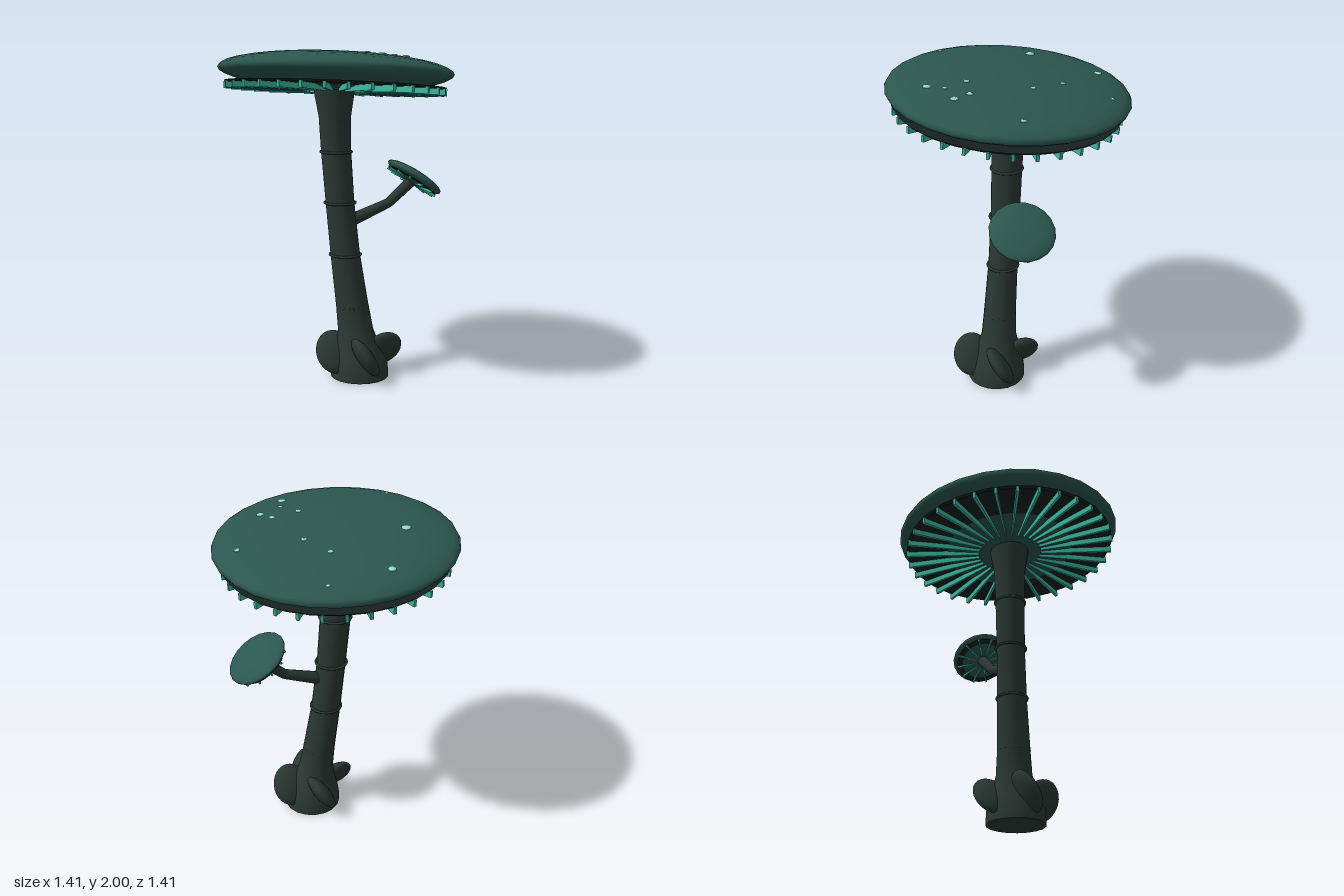
import * as THREE from 'three';
import { toCreasedNormals } from 'three/addons/utils/BufferGeometryUtils.js';

const mat = (color) => new THREE.MeshStandardMaterial({ color });
const stemMat = mat(0x2a3833), capMat = mat(0x2b574e), underMat = mat(0x16211f);
const gillMat = mat(0x3cb8a0), spotMat = mat(0x8fdcc8);

function add(parent, name, geometry, material) {
  const mesh = new THREE.Mesh(geometry, material);
  mesh.name = name;
  parent.add(mesh);
  return mesh;
}

// Stem cross-sections from top to bottom: height, centre x, centre z, radius
const STEM = [
  [1.79, -0.01, 0, 0.125], [1.73, -0.01, 0, 0.12], [1.6, -0.008, 0.003, 0.098],
  [1.39, -0.002, 0.01, 0.092], [1.08, 0.018, 0.025, 0.088], [0.76, 0.045, 0.047, 0.091],
  [0.44, 0.082, 0.077, 0.101], [0.29, 0.1, 0.088, 0.11], [0.17, 0.11, 0.1, 0.145],
  [0.08, 0.12, 0.11, 0.177], [0, 0.12, 0.11, 0.18],
];

function stemGeometry() {
  const rows = STEM.length - 1;
  const geo = new THREE.CylinderGeometry(1, 1, 1, 18, rows);
  const p = geo.attributes.position;
  for (let i = 0; i < p.count; i++) {
    const [y, cx, cz, r] = STEM[Math.round((0.5 - p.getY(i)) * rows)];
    p.setXYZ(i, cx + p.getX(i) * r, y, cz + p.getZ(i) * r);
  }
  return toCreasedNormals(geo, 0.9);
}

// Tapered round limb between two points
function limb(parent, name, a, b, ra, rb) {
  const dir = b.clone().sub(a);
  const mesh = add(parent, name, new THREE.CylinderGeometry(rb, ra, dir.length(), 12), stemMat);
  mesh.position.copy(a).addScaledVector(dir, 0.5);
  mesh.quaternion.setFromUnitVectors(new THREE.Vector3(0, 1, 0), dir.normalize());
}

// Lens-shaped cap with an underside plate and a ring of tapering gills
function mushroomCap({ radius, height, segments, plateY, gills, gillIn, gillOut, gillH, gillW }) {
  const cap = new THREE.Group();
  const dome = add(cap, 'capDome', new THREE.SphereGeometry(1, segments, 18), capMat);
  dome.scale.set(radius, height, radius);
  const plate = add(cap, 'capUnderside',
    new THREE.CylinderGeometry(gillOut, gillOut * 0.98, height * 0.12, segments), underMat);
  plate.position.y = plateY;

  const length = gillOut - gillIn;
  const geo = new THREE.BoxGeometry(length, gillH, gillW);
  geo.translate(0, -gillH / 2, 0);
  const p = geo.attributes.position;
  for (let i = 0; i < p.count; i++) {
    if (p.getX(i) < 0) {
      p.setZ(i, p.getZ(i) * 0.4);
      p.setY(i, p.getY(i) * 0.7 - gillH * 0.3);
    }
  }
  geo.translate(gillIn + length / 2, plateY, 0);
  geo.computeVertexNormals();
  for (let i = 0; i < gills; i++) {
    add(cap, 'gill', geo, gillMat).rotation.y = (i / gills) * Math.PI * 2;
  }
  return cap;
}

export function createModel() {
  const model = new THREE.Group();
  model.name = 'mushroomTree';

  add(model, 'stem', stemGeometry(), stemMat);

  // Thin growth rings round the stem
  for (const row of [3, 4, 5, 6]) {
    const [y, x, z] = STEM[row];
    const ring = add(model, 'stemRing', new THREE.TorusGeometry(0.094, 0.008, 8, 28), stemMat);
    ring.position.set(x, y, z);
    ring.rotation.x = Math.PI / 2;
  }

  // Four flattened, leaning root lobes round the foot
  for (let i = 0; i < 4; i++) {
    const root = new THREE.Group();
    root.name = 'rootLobe';
    root.position.set(0.115, 0.16, 0.11);
    root.rotation.y = (i * Math.PI) / 2;
    const lobe = add(root, 'lobe', new THREE.SphereGeometry(1, 20, 14), stemMat);
    lobe.scale.set(0.048, 0.137, 0.118);
    lobe.position.set(-0.012, 0, 0.155);
    lobe.rotation.z = 0.55;
    model.add(root);
  }

  // Main cap, tipped slightly
  const cap = mushroomCap({
    radius: 0.705, height: 0.113, segments: 28, plateY: -0.085,
    gills: 32, gillIn: 0.2, gillOut: 0.665, gillH: 0.04, gillW: 0.018,
  });
  cap.name = 'mainCap';
  cap.position.set(0, 1.87, 0);
  cap.rotation.set(-0.057, 0, -0.057);
  model.add(cap);

  // Pale spots lying on the cap: x, z, radius
  const spots = [
    [-0.05, -0.545, 0.023], [0.31, -0.515, 0.012], [-0.335, -0.21, 0.028], [0.165, -0.265, 0.015],
    [0.23, -0.075, 0.016], [0.57, 0.065, 0.017], [0.1, 0.27, 0.018], [0.26, 0.285, 0.019],
    [0.295, 0.375, 0.023], [0.155, 0.4, 0.015], [0.105, 0.49, 0.024], [-0.505, 0.305, 0.013],
  ];
  for (const [x, z, r] of spots) {
    const spot = add(cap, 'spot', new THREE.SphereGeometry(r, 12, 8), spotMat);
    spot.scale.y = 0.35;
    spot.position.set(x, 0.113 * Math.sqrt(1 - (x * x + z * z) / 0.497), z);
  }

  // Bent side branch
  const z = 0.045;
  const start = new THREE.Vector3(0.06, 0.96, z);
  const bend = new THREE.Vector3(0.325, 1.065, z);
  const end = new THREE.Vector3(0.48, 1.2, z);
  limb(model, 'branchLower', start, bend, 0.041, 0.03);
  limb(model, 'branchUpper', bend, end, 0.03, 0.036);
  add(model, 'branchJoint', new THREE.SphereGeometry(0.03, 12, 8), stemMat).position.copy(bend);

  // Small cap on the branch
  const small = mushroomCap({
    radius: 0.19, height: 0.042, segments: 20, plateY: -0.027,
    gills: 12, gillIn: 0.05, gillOut: 0.172, gillH: 0.016, gillW: 0.01,
  });
  small.name = 'smallCap';
  small.position.set(0.495, 1.22, z);
  small.rotation.z = -0.59;
  model.add(small);

  return model;
}
